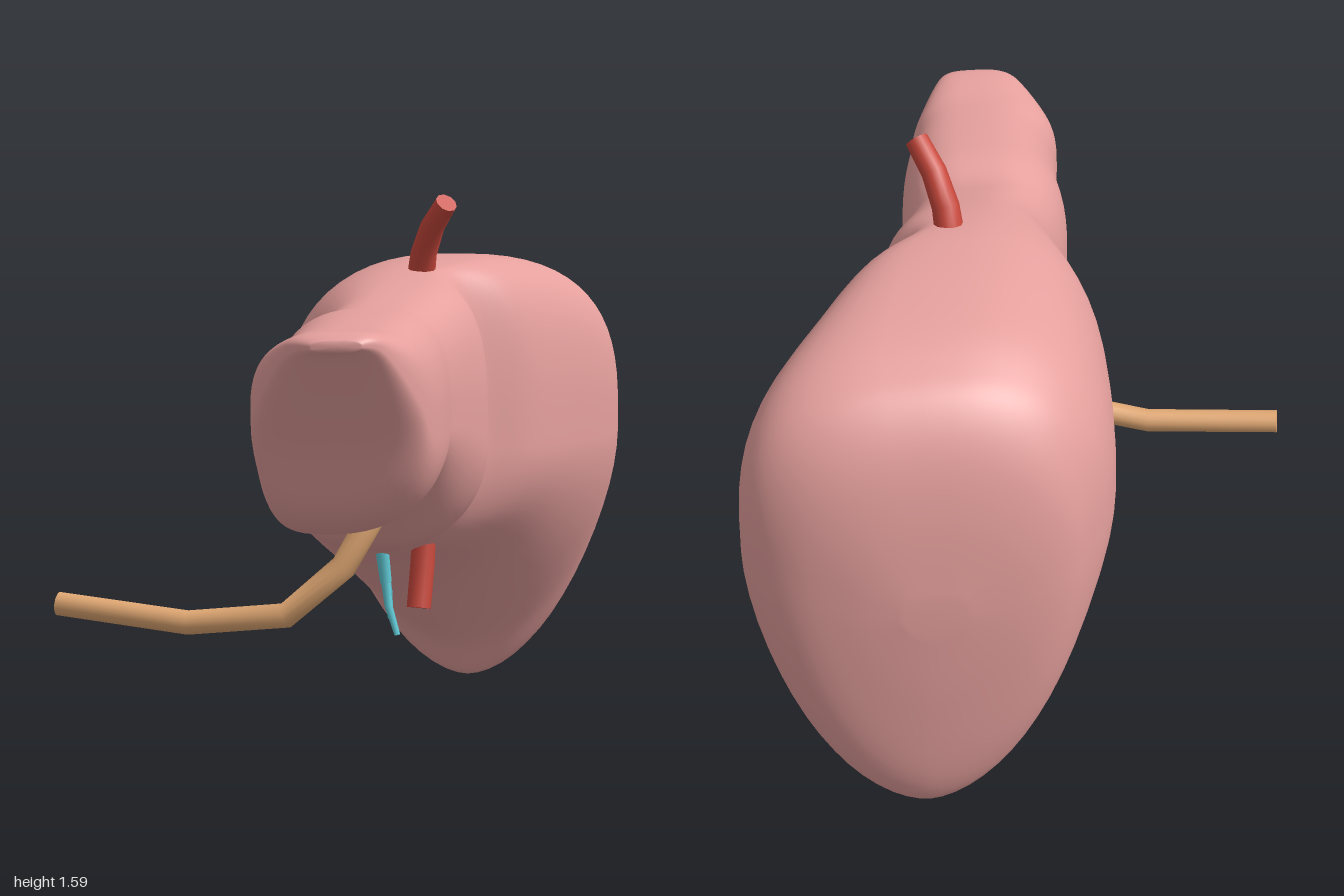
import * as THREE from 'three';

// Cross-sections of the liver from the thin lobe to the thick lobe:
// z, left x, right x, widest y, top x, top y, bottom x, bottom y
const SECTIONS = [
  [1.0, -0.05, 0.07, 1.262, 0.02, 1.275, 0.02, 1.25],
  [0.95, -0.125, 0.13, 1.24, 0.02, 1.295, 0.02, 1.2],
  [0.8, -0.215, 0.215, 1.1, 0.04, 1.285, 0.0, 0.985],
  [0.7, -0.21, 0.245, 1.01, 0.05, 1.29, -0.02, 0.795],
  [0.56, -0.2, 0.275, 0.98, 0.06, 1.3, -0.03, 0.715],
  [0.4, -0.2, 0.29, 0.97, 0.07, 1.305, 0.02, 0.745],
  [0.27, -0.17, 0.295, 0.96, 0.08, 1.29, 0.08, 0.79],
  [0.14, -0.12, 0.34, 0.95, 0.1, 1.315, 0.08, 0.69],
  [0.0, -0.16, 0.4, 0.89, 0.15, 1.35, 0.08, 0.58],
  [-0.12, -0.2, 0.375, 0.85, 0.2, 1.375, 0.11, 0.55],
  [-0.25, -0.215, 0.53, 0.84, 0.25, 1.392, 0.13, 0.5],
  [-0.45, -0.205, 0.66, 0.83, 0.29, 1.397, 0.17, 0.385],
  [-0.65, -0.18, 0.785, 0.82, 0.31, 1.38, 0.25, 0.235],
  [-0.78, -0.14, 0.82, 0.82, 0.33, 1.34, 0.32, 0.12],
  [-0.87, -0.085, 0.79, 0.81, 0.34, 1.285, 0.35, 0.0],
  [-0.94, -0.02, 0.695, 0.78, 0.36, 1.17, 0.36, 0.11],
  [-0.98, 0.09, 0.56, 0.75, 0.35, 1.0, 0.36, 0.4],
  [-1.0, 0.26, 0.42, 0.72, 0.34, 0.78, 0.34, 0.66],
];

// Joins closed rings of points into one skin with capped ends
function loft(rings, sharpCaps) {
  const n = rings[0].length;
  const pos = [], idx = [];
  const add = (ring) => {
    const start = pos.length / 3;
    ring.forEach((p) => pos.push(p.x, p.y, p.z));
    return start;
  };
  rings.forEach(add);
  for (let i = 0; i < rings.length - 1; i++) {
    for (let j = 0; j < n; j++) {
      const k = (j + 1) % n;
      const a = i * n + j, b = i * n + k, c = a + n, d = b + n;
      idx.push(a, c, b, b, c, d);
    }
  }
  [0, rings.length - 1].forEach((r) => {
    const start = sharpCaps ? add(rings[r]) : r * n;
    const mid = new THREE.Vector3();
    rings[r].forEach((p) => mid.addScaledVector(p, 1 / n));
    const centre = add([mid]);
    for (let j = 0; j < n; j++) {
      const a = start + j, b = start + ((j + 1) % n);
      if (r === 0) idx.push(centre, a, b);
      else idx.push(centre, b, a);
    }
  });
  const geo = new THREE.BufferGeometry();
  geo.setAttribute('position', new THREE.Float32BufferAttribute(pos, 3));
  geo.setIndex(idx);
  geo.computeVertexNormals();
  return geo;
}

// Smooth interpolation between the listed sections
function sectionAt(t) {
  const last = SECTIONS.length - 1;
  const i = Math.min(Math.floor(t), last - 1), f = t - i;
  const row = (k) => SECTIONS[Math.max(0, Math.min(last, k))];
  return SECTIONS[0].map((_, c) => {
    const [p, q, r, s] = [row(i - 1)[c], row(i)[c], row(i + 1)[c], row(i + 2)[c]];
    return q + 0.5 * f * (r - p + f * (2 * p - 5 * q + 4 * r - s + f * (3 * (q - r) + s - p)));
  });
}

// Rounded ring whose four corners have their own fullness;
// the lower ones taper on the thick lobe and fill out towards the thin one
function liverRing([z, xl, xr, ym, xt, yt, xb, yb], sides) {
  const thin = THREE.MathUtils.smoothstep(z, -0.75, 0.15);
  const lowerLeft = 1.8 + 1.4 * thin + 0.8 * THREE.MathUtils.smoothstep(z, 0.4, 0.8);
  const lowerRight = 1.8 + 0.4 * thin;
  return Array.from({ length: sides }, (_, j) => {
    const a = (j / sides) * Math.PI * 2;
    const c = Math.cos(a), s = Math.sin(a);
    const upper = c > 0 ? 3.1 : 2.6;
    const lower = c > 0 ? lowerRight : lowerLeft;
    const e = 2 / (s > 0 ? upper : lower);
    const u = Math.abs(c) ** e, v = Math.abs(s) ** e;
    const mid = s > 0 ? xt : xb;
    return new THREE.Vector3(
      mid + u * ((c > 0 ? xr : xl) - mid),
      ym + v * ((s > 0 ? yt : yb) - ym),
      z
    );
  });
}

// Path with straight pieces between its points
class Polyline extends THREE.Curve {
  constructor(points) {
    super();
    this.points = points.map((p) => new THREE.Vector3(...p));
  }
  getPoint(t, target = new THREE.Vector3()) {
    const last = this.points.length - 1;
    const i = Math.min(Math.floor(t * last + 1e-9), last - 1);
    return target.lerpVectors(this.points[i], this.points[i + 1], t * last - i);
  }
  getTangentAt(t, target) {
    return this.getTangent(t, target);
  }
}

// Capped vessel along a path, tapering from r0 to r1
function vessel(points, r0, r1, sides) {
  const path = new Polyline(points);
  const last = points.length - 1;
  const { normals, binormals } = path.computeFrenetFrames(last, false);
  const rings = path.points.map((p, i) => {
    const r = r0 + ((r1 - r0) * i) / last;
    return Array.from({ length: sides }, (_, j) => {
      const a = (j / sides) * Math.PI * 2;
      return p.clone()
        .addScaledVector(normals[i], r * Math.cos(a))
        .addScaledVector(binormals[i], -r * Math.sin(a));
    });
  });
  return loft(rings, true);
}

export function createModel() {
  const group = new THREE.Group();
  const material = (color) => new THREE.MeshStandardMaterial({ color });
  const tissue = material(0xe5a09d);
  const red = material(0xc8483c);
  const tan = material(0xe2a974);
  const cyan = material(0x62ccd8);
  const add = (name, geo, mat) => {
    const mesh = new THREE.Mesh(geo, mat);
    mesh.name = name;
    group.add(mesh);
  };

  // Liver body
  const steps = (SECTIONS.length - 1) * 6;
  const rings = Array.from({ length: steps + 1 }, (_, i) => liverRing(sectionAt(i / 6), 64));
  add('liver', loft(rings, false), tissue);

  // Vein above and artery below
  add('upperVein', vessel([[0.2, 1.33, -0.14], [0.21, 1.42, -0.11], [0.235, 1.5, -0.06], [0.275, 1.57, 0.0]], 0.041, 0.032, 10), red);
  add('lowerArtery', vessel([[0.215, 0.62, -0.19], [0.21, 0.5, -0.175], [0.2, 0.37, -0.145]], 0.036, 0.036, 10), red);

  // Long bent duct
  add('longDuct', vessel([
    [0.11, 0.85, 0.31], [0.085, 0.74, 0.335], [0.0, 0.59, 0.365],
    [-0.16, 0.45, 0.355], [-0.44, 0.41, 0.275], [-0.82, 0.44, 0.175],
  ], 0.038, 0.034, 14), tan);

  // Forked duct
  const fork = [0.1, 0.43, -0.23];
  add('forkedDuctStem', vessel([[0.085, 0.6, -0.215], [0.09, 0.52, -0.22], fork], 0.023, 0.018, 10), cyan);
  add('forkedDuctFrontBranch', vessel([[0.098, 0.45, -0.23], [0.108, 0.36, -0.222], [0.135, 0.272, -0.215]], 0.015, 0.009, 8), cyan);
  add('forkedDuctBackBranch', vessel([[0.098, 0.45, -0.225], [0.106, 0.39, -0.29], [0.11, 0.29, -0.385]], 0.015, 0.009, 8), cyan);

  return group;
}
